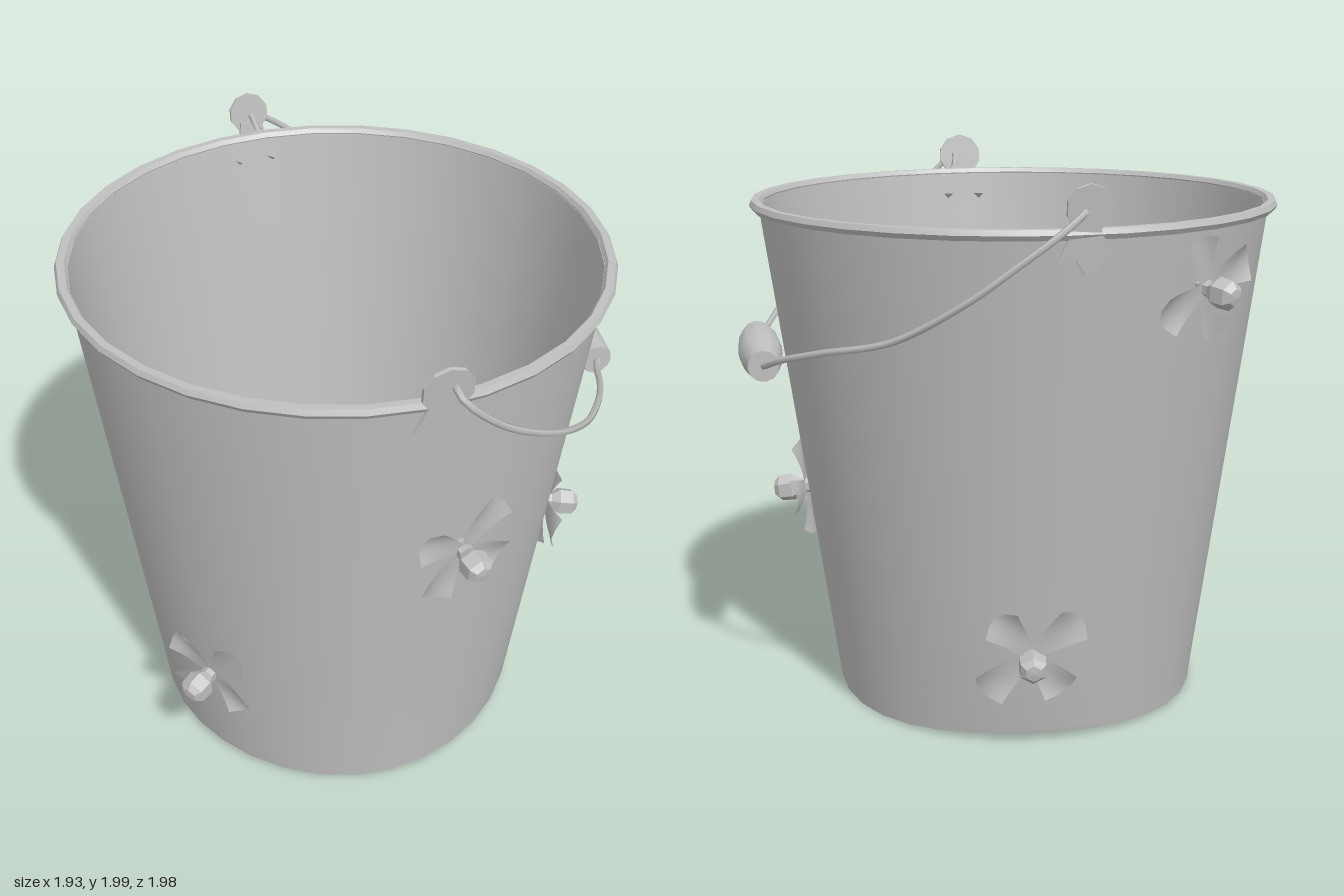
import * as THREE from 'three';
import { toCreasedNormals } from 'three/addons/utils/BufferGeometryUtils.js';

const metal = new THREE.MeshStandardMaterial({ color: 0xc0c0c0, side: THREE.DoubleSide });
metal.name = 'grey metal';

const V = (x, y, z) => new THREE.Vector3(x, y, z);
const wallRadius = (y) => 0.678 + 0.13 * (y - 0.02);
const centreZ = (y) => 0.085 - 0.024 * y; // the pail leans back a little
const CX = -0.028;

function part(name, geometry, crease = 0.6) {
  const mesh = new THREE.Mesh(toCreasedNormals(geometry, crease), metal);
  mesh.name = name;
  return mesh;
}

// Turned profile, sheared to follow the leaning axis of the pail
function turned(name, profile, wobble = 0) {
  const g = new THREE.LatheGeometry(profile.map(([r, y]) => new THREE.Vector2(r, y)), 32);
  const p = g.attributes.position;
  for (let i = 0; i < p.count; i++) {
    const x = p.getX(i), y = p.getY(i), z = p.getZ(i);
    const a = Math.atan2(z, x);
    const dent = y < 0.03 ? wobble * Math.sin(3 * a + 1) : 0;
    p.setXYZ(i, x + CX, y + dent + (y > 1.7 ? 0.01 * z : 0), z + centreZ(y));
  }
  return part(name, g);
}

// Empty group on the wall, local +z pointing outward
function onWall(name, angle, y, lift = 0) {
  const g = new THREE.Group();
  g.name = name;
  const n = V(Math.sin(angle), -0.13, Math.cos(angle));
  const r = wallRadius(y) + lift;
  g.position.set(CX + n.x * r, y, centreZ(y) + n.z * r);
  g.lookAt(g.position.clone().add(n));
  return g;
}

// Flared petal, narrow at the centre and curled up along its sides
function petal(angle, length) {
  const g = new THREE.PlaneGeometry(1, 1, 4, 4);
  const p = g.attributes.position;
  for (let i = 0; i < p.count; i++) {
    const v = p.getX(i) * 2, u = p.getY(i) + 0.5;
    p.setXYZ(i, 0.02 + length * u - 0.03 * u * v * v, v * (0.025 + 0.045 * u),
      0.03 - 0.01 * u + 0.03 * u * u * v * v);
  }
  g.rotateZ(angle);
  return part('petal', g, 1);
}

function flower(angle, y, turn) {
  const g = onWall('flower', angle, y);
  for (let i = 0; i < 4; i++) g.add(petal(turn + i * Math.PI / 2, i % 2 ? 0.17 : 0.2));
  const knob = new THREE.LatheGeometry(
    [[0.025, -0.01], [0.03, 0.05], [0.052, 0.08], [0.05, 0.13], [0.03, 0.15], [0, 0.155]]
      .map(([r, h]) => new THREE.Vector2(r, h)), 6);
  knob.rotateX(Math.PI / 2);
  g.add(part('flowerCentre', knob, 0.2));
  return g;
}

// Round lug with a splayed mounting plate and two rivet tips inside the wall
function ear(angle, radius) {
  const g = onWall('ear', angle, 1.84, 0.035);
  const disc = part('earDisc', new THREE.CylinderGeometry(radius, radius, 0.014, 10).rotateX(Math.PI / 2));
  disc.position.set(0, 0.07, 0.005);
  const s = new THREE.Shape();
  [[-0.04, 0.04], [-0.06, -0.04], [-0.09, -0.1], [-0.03, -0.1], [0, -0.15], [0.05, -0.13],
    [0.05, -0.09], [0.09, -0.07], [0.05, -0.02], [0.04, 0.04]]
    .forEach(([x, y], i) => (i ? s.lineTo(x, y) : s.moveTo(x, y)));
  const plate = part('earPlate', new THREE.ExtrudeGeometry(s, { depth: 0.012, bevelEnabled: false }));
  plate.position.z = -0.022;
  g.add(disc, plate);
  for (const x of [-0.065, 0.065]) {
    const rivet = part('rivetTip', new THREE.ConeGeometry(0.025, 0.05, 4).rotateX(-Math.PI / 2), 0.2);
    rivet.position.set(x, -0.09, -0.065);
    g.add(rivet);
  }
  return g;
}

function wire(name, pts) {
  const curve = new THREE.CatmullRomCurve3(pts.map((p) => V(...p)));
  return part(name, new THREE.TubeGeometry(curve, 40, 0.012, 5), 1.3);
}

export function createModel() {
  const model = new THREE.Group();
  model.name = 'bucket';

  // Pail: thin tapered wall, floor and rolled rim
  const rows = [0.015, 0.05, 0.5, 1.0, 1.5, 1.83];
  model.add(turned('wall', [
    ...rows.map((y) => [wallRadius(y), y]),
    ...rows.slice().reverse().map((y) => [wallRadius(y) - 0.012, y]),
    [wallRadius(0.015), 0.015],
  ], 0.014));
  model.add(turned('floor', [[0, 0.03], [0.675, 0.03], [0.675, 0.045], [0, 0.045]]));
  model.add(turned('rim', [[0.908, 1.815], [0.935, 1.815], [0.946, 1.832], [0.938, 1.85],
    [0.912, 1.85], [0.902, 1.835], [0.908, 1.815]]));

  // Lugs at opposite sides of the rim
  model.add(ear(0.44, 0.085), ear(0.44 + Math.PI + 0.01, 0.075));

  // Flowers: angle round the wall from the front, height, turn of the petals
  for (const [angle, y, turn] of [
    [0.6, 1.17, 1.05], [-0.53, 0.49, 0.87], [1.72, 0.73, 0.03],
    [Math.PI + 0.28, 0.36, 0.7], [-2.18, 1.62, 0.4],
  ]) model.add(flower(angle, y, turn));

  // Bail wire, in two halves either side of the grip
  const ends = [V(0.905, 1.325, -0.14), V(0.715, 1.31, -0.58)];
  model.add(wire('frontWire', [[0.38, 1.88, 0.82], [0.4, 1.92, 0.9], [0.43, 1.91, 0.965],
    [0.55, 1.79, 0.91], [0.71, 1.66, 0.76], [0.82, 1.55, 0.55], [0.88, 1.46, 0.3],
    [0.9, 1.39, 0.1], [0.9, 1.335, -0.07], ends[0].toArray()]));
  model.add(wire('backWire', [ends[1].toArray(), [0.61, 1.36, -0.7], [0.42, 1.42, -0.83],
    [0.15, 1.49, -0.94], [-0.1, 1.63, -0.985], [-0.25, 1.74, -0.97], [-0.38, 1.84, -0.92],
    [-0.44, 1.9, -0.84], [-0.4, 1.87, -0.76]]));

  // Barrel-shaped grip
  const axis = ends[1].clone().sub(ends[0]);
  const h = axis.length() / 2;
  const grip = part('grip', new THREE.LatheGeometry(
    [[0, -h], [0.055, -h], [0.075, -h * 0.4], [0.078, 0], [0.075, h * 0.4], [0.055, h], [0, h]]
      .map(([r, y]) => new THREE.Vector2(r, y)), 12));
  grip.position.copy(ends[0]).addScaledVector(axis, 0.5);
  grip.quaternion.setFromUnitVectors(V(0, 1, 0), axis.normalize());
  model.add(grip);

  return model;
}
